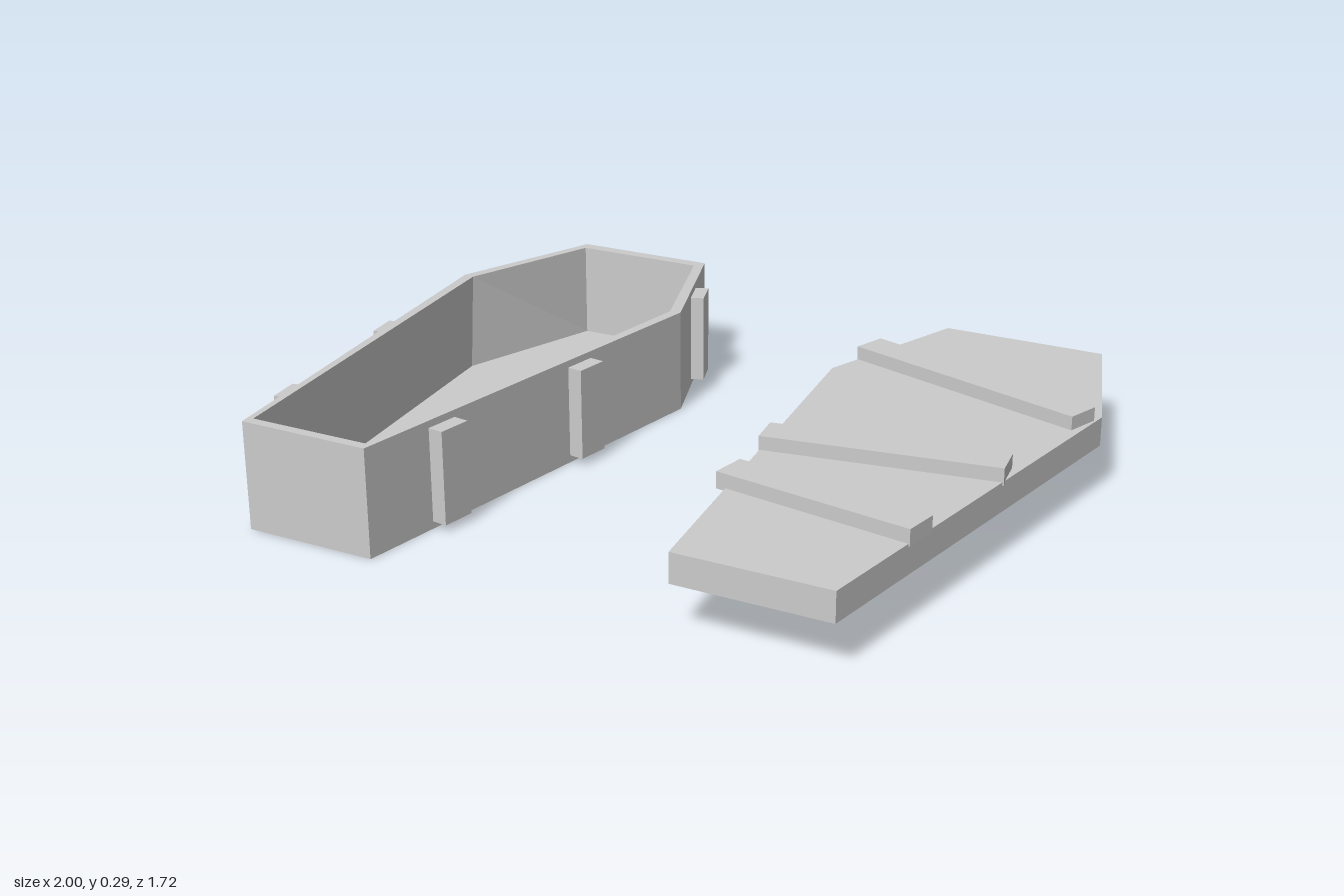
import * as THREE from 'three';

const material = new THREE.MeshStandardMaterial({ color: 0xcccccc, flatShading: true });

function add(parent, name, geometry) {
  const mesh = new THREE.Mesh(geometry, material);
  mesh.name = name;
  parent.add(mesh);
  return mesh;
}

// Ring of [x, z] corners at height y
const ring = (corners, y) => corners.map(([x, z]) => [x, y, z]);

// Mirrors the three right-hand corners (back, shoulder, foot) about x = cx
function hexagon(cx, half) {
  return [...half.map(([w, z]) => [cx + w, z]), ...half.slice().reverse().map(([w, z]) => [cx - w, z])];
}

// Joins successive rings with quads and caps the first and last
function loft(rings) {
  const v = [];
  const tri = (...p) => p.forEach((q) => v.push(...q));
  for (let r = 0; r + 1 < rings.length; r++) {
    const a = rings[r], b = rings[r + 1];
    for (let i = 0; i < a.length; i++) {
      const j = (i + 1) % a.length;
      tri(a[i], b[i], b[j]);
      tri(a[i], b[j], a[j]);
    }
  }
  const first = rings[0], last = rings[rings.length - 1];
  for (let i = 1; i + 1 < first.length; i++) {
    tri(first[0], first[i], first[i + 1]);
    tri(last[0], last[i + 1], last[i]);
  }
  const g = new THREE.BufferGeometry();
  g.setAttribute('position', new THREE.Float32BufferAttribute(v, 3));
  g.computeVertexNormals();
  return g;
}

export function createModel() {
  const model = new THREE.Group();
  model.name = 'coffin';

  // Open box: outer wall, rim, inner wall, floor
  const box = new THREE.Group();
  box.name = 'box';
  model.add(box);
  const cx = -0.63;
  const outer = hexagon(cx, [[0.21, -0.845], [0.37, -0.4], [0.187, 0.855]]);
  const rim = hexagon(cx, [[0.193, -0.808], [0.338, -0.395], [0.174, 0.827]]);
  const floor = hexagon(cx, [[0.193, -0.808], [0.334, -0.365], [0.174, 0.827]]);
  add(box, 'boxShell', loft([ring(outer, 0), ring(outer, 0.295), ring(rim, 0.295), ring(floor, 0.02)]));

  // Upright battens on both side walls: [distance from centre line, z, wall angle]
  const battens = [[0.296, -0.63, 0.345], [0.318, 0.05, -0.145], [0.24, 0.587, -0.145]];
  for (const side of [-1, 1]) {
    for (const [w, z, angle] of battens) {
      const batten = add(box, 'sideBatten', new THREE.BoxGeometry(0.06, 0.255, 0.095));
      batten.position.set(cx + side * w, 0.148, z);
      batten.rotation.y = side * angle;
    }
  }

  // Lid slab lying beside the box
  const lid = new THREE.Group();
  lid.name = 'lid';
  model.add(lid);
  const outline = hexagon(0.607, [[0.233, -0.867], [0.388, -0.4], [0.208, 0.857]]);
  add(lid, 'lidSlab', loft([ring(outline, 0.13), ring(outline, 0.21)]));

  // Crooked planks nailed across the lid: [x, z, length, angle]
  const planks = [[0.617, -0.434, 0.74, -0.31], [0.607, 0.128, 0.625, 0.155], [0.597, 0.47, 0.55, -0.158]];
  for (const [x, z, length, angle] of planks) {
    const plank = add(lid, 'lidPlank', new THREE.BoxGeometry(length, 0.045, 0.097));
    plank.position.set(x, 0.225, z);
    plank.rotation.y = angle;
  }
  return model;
}
